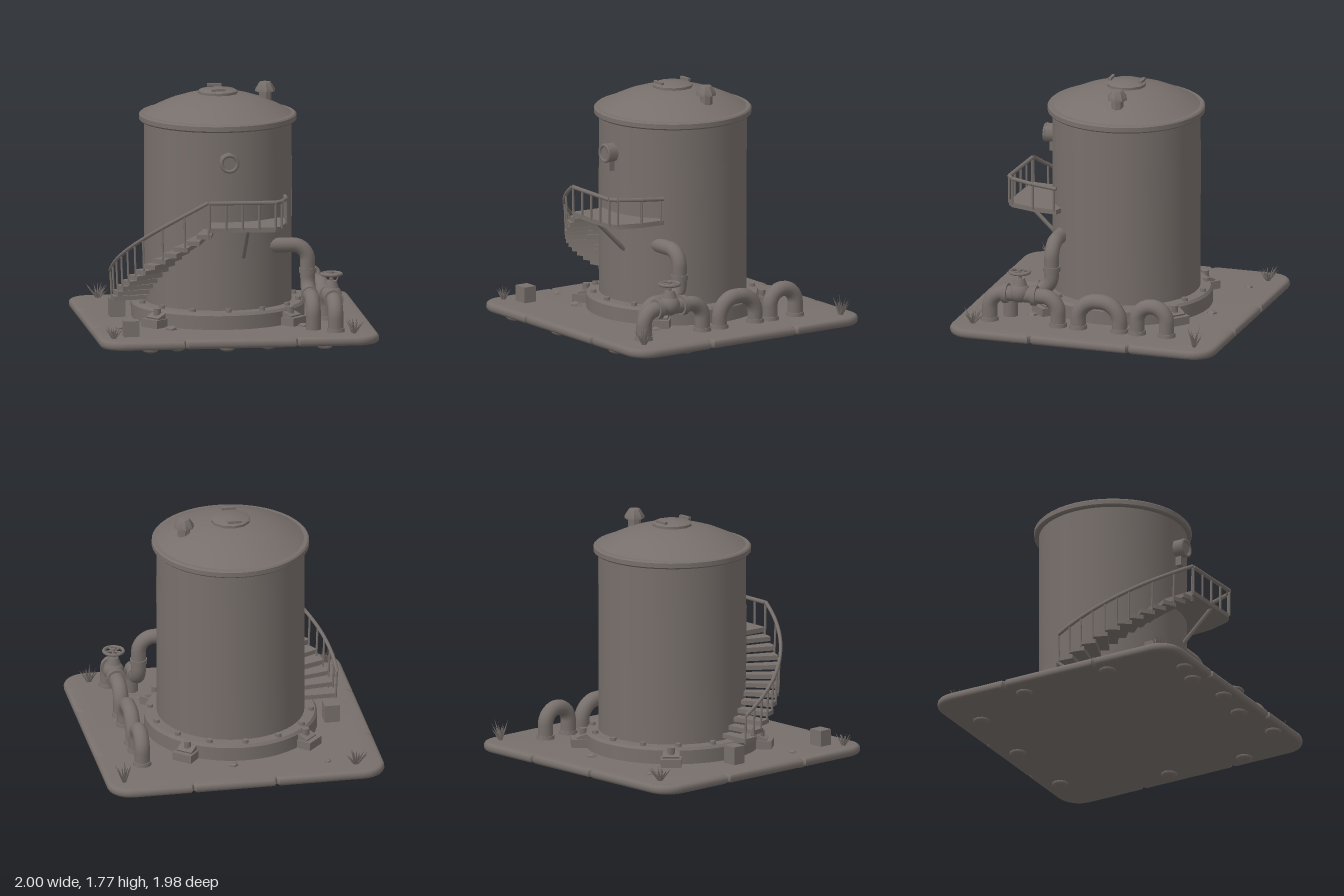
import * as THREE from 'three';
import { toCreasedNormals } from 'three/addons/utils/BufferGeometryUtils.js';

const V = (x, y, z) => new THREE.Vector3(x, y, z);
const CX = -0.04, CZ = -0.045, GROUND = 0.09;
// Point around the tank axis: angle 0 is +x, PI/2 is the front
const around = (r, a, y) => V(CX + r * Math.cos(a), y, CZ + r * Math.sin(a));

export function createModel() {
  const model = new THREE.Group();
  const paint = new THREE.MeshStandardMaterial({ color: 0x776f6b, side: THREE.DoubleSide });

  const add = (name, geo, x = 0, y = 0, z = 0, parent = model) => {
    const m = new THREE.Mesh(geo, paint);
    m.name = name;
    m.position.set(x, y, z);
    parent.add(m);
    return m;
  };
  const cyl = (r1, r2, h, n = 16) => new THREE.CylinderGeometry(r1, r2, h, n);
  const lathe = (pts, n = 48) =>
    toCreasedNormals(new THREE.LatheGeometry(pts.map(p => new THREE.Vector2(...p)), n), 0.6);
  // Horizontal slab of an (x, z) outline, its top face at y = 0
  const plate = (shape, h, bevel = 0) => {
    const g = new THREE.ExtrudeGeometry(shape, {
      depth: h - 2 * bevel, bevelEnabled: bevel > 0, bevelSize: bevel, bevelThickness: bevel,
      bevelOffset: -bevel, bevelSegments: 4, curveSegments: 8 });
    return toCreasedNormals(g.rotateX(Math.PI / 2).translate(0, -bevel, 0), 0.6);
  };
  const rod = (name, a, b, r, n = 6, parent = model) => {
    const m = add(name, cyl(r, r, a.distanceTo(b), n), 0, 0, 0, parent);
    m.position.copy(a).lerp(b, 0.5);
    m.quaternion.setFromUnitVectors(V(0, 1, 0), b.clone().sub(a).normalize());
    return m;
  };
  // Pipe through corner points, every bend rounded
  const pipe = (name, pts, r, bend) => {
    const path = new THREE.CurvePath();
    let last = pts[0];
    for (let i = 1; i < pts.length - 1; i++) {
      const a = pts[i].clone().add(pts[i - 1].clone().sub(pts[i]).setLength(bend));
      const b = pts[i].clone().add(pts[i + 1].clone().sub(pts[i]).setLength(bend));
      const k = 0.45;
      path.add(new THREE.LineCurve3(last, a));
      path.add(new THREE.CubicBezierCurve3(a, a.clone().lerp(pts[i], 1 - k), b.clone().lerp(pts[i], 1 - k), b));
      last = b;
    }
    path.add(new THREE.LineCurve3(last, pts[pts.length - 1]));
    return add(name, new THREE.TubeGeometry(path, 64, r, 14));
  };

  // Foundation slab with small notches along its edges
  const slab = new THREE.Shape(), E = 1, R = 0.17;
  const notches = [[-0.4, 0.4], [-0.36, 0.38], [-0.4, 0.2], [-0.38, 0.36]];
  for (let s = 0; s < 4; s++) {
    const t = s * Math.PI / 2, c = Math.round(Math.cos(t)), n = Math.round(Math.sin(t));
    const put = (u, v) => {
      const x = u * c + v * n, y = (-u * n + v * c) * 0.99 - 0.01;
      if (slab.curves.length || slab.currentPoint.lengthSq()) slab.lineTo(x, y);
      else slab.moveTo(x, y);
    };
    for (let i = 0; i <= 6; i++) {
      const q = Math.PI - i * Math.PI / 12;
      put(-E + R + R * Math.cos(q), E - R + R * Math.sin(q));
    }
    for (const k of notches[s]) { put(k - 0.014, E); put(k, E - 0.03); put(k + 0.014, E); }
  }
  slab.closePath();
  add('foundationSlab', plate(slab, 0.066, 0.028), 0, 0.096, 0);
  // Lumps under the slab
  for (const [x, z] of [[-0.65, 0.9], [-0.45, 0.85], [-0.1, 0.9], [0.2, 0.85], [0.6, 0.9], [0.88, 0.5],
    [0.85, -0.1], [0.6, -0.85], [0, -0.85], [-0.6, -0.8], [-0.85, -0.3], [-0.88, 0.4]]) {
    add('undersideLump', new THREE.SphereGeometry(0.06, 10, 6).scale(1, 0.45, 1), x, 0.028, z);
  }

  // Tank: base ring, wall, rim and domed roof
  add('baseRing', lathe([[0.5, 0.08], [0.615, 0.08], [0.615, 0.195], [0.6, 0.215], [0.5, 0.22]]), CX, 0, CZ);
  add('tankWall', lathe([[0.525, 0.1], [0.525, 1.53]], 64), CX, 0, CZ);
  add('roofRim', lathe([[0.52, 1.505], [0.55, 1.505], [0.56, 1.515], [0.56, 1.548], [0.55, 1.558], [0.51, 1.56]]), CX, 0, CZ);
  add('domedRoof', lathe([[0.53, 1.555], [0.45, 1.6], [0.35, 1.645], [0.24, 1.68], [0.12, 1.7], [0, 1.706]]), CX, 0, CZ);
  for (let i = 0; i < 14; i++) {
    const p = around(0.572, i * Math.PI / 7 - Math.PI / 2, 0.222);
    add('ringBolt', cyl(0.022, 0.025, 0.035, 6), p.x, p.y, p.z);
  }
  // Thin patches on the wall: start angle, end angle, bottom, top
  for (const [a, b, y0, y1] of [[-0.5, 0.06, 0.8, 1.23], [-0.85, -0.22, 1.25, 1.5],
    [0.2, 0.5, 1.02, 1.24], [-2.7, -2.25, 0.75, 1.25], [-1.9, -1.2, 0.9, 1.3], [2.2, 2.6, 0.7, 1.1]]) {
    const g = new THREE.CylinderGeometry(0.529, 0.529, y1 - y0, 10, 1, true, Math.PI / 2 - b, b - a);
    add('wallPatch', g, CX, (y0 + y1) / 2, CZ);
  }

  // Roof hatch with handles, and the capped vent
  add('roofHatch', lathe([[0.142, 1.68], [0.142, 1.715], [0.125, 1.724], [0, 1.735]], 12), CX, 0, CZ);
  for (const s of [-1, 1]) add('hatchHandle', new THREE.BoxGeometry(0.1, 0.018, 0.022), CX - 0.01, 1.737, CZ + s * 0.115);
  add('roofVent', lathe([[0.045, 1.6], [0.045, 1.69], [0.072, 1.695], [0.07, 1.715], [0.04, 1.762], [0, 1.768]], 8), 0.305, 0, -0.09);

  // Pressure gauge on the front
  add('gaugeCase', cyl(0.07, 0.07, 0.07, 8).rotateX(Math.PI / 2), -0.035, 1.29, 0.515);
  add('gaugeRing', new THREE.TorusGeometry(0.058, 0.013, 6, 16), -0.035, 1.29, 0.55);
  add('gaugeStem', new THREE.BoxGeometry(0.04, 0.07, 0.045), -0.035, 1.195, 0.5);

  // Curved stair
  const A0 = Math.PI * 1.0, A1 = 1.79, steps = 12;
  const treadY = t => 0.25 + 0.54 * t;
  const stairs = new THREE.Group();
  stairs.name = 'stairs';
  model.add(stairs);
  for (let i = 0; i < steps; i++) {
    const da = (A0 - A1) / steps, hi = A0 - i * da, lo = hi - da * 1.25;
    const s = new THREE.Shape();
    s.absarc(0, 0, 0.765, lo, hi, false);
    s.absarc(0, 0, 0.515, hi, lo, true);
    s.closePath();
    add('stairTread', plate(s, 0.032), CX, treadY(i / (steps - 1)) + 0.016, CZ, stairs);
  }
  const railPts = [];
  for (let i = 0; i <= 12; i++) {
    const t = i / 12, a = A0 + (A1 - A0) * t;
    const top = around(0.77, a, 0.44 + 0.6 * t);
    railPts.push(top);
    if (i % 2 === 0 || i < 7) rod('stairPost', around(0.76, a, treadY(t) - 0.02), top, 0.008, 6, stairs);
  }
  add('stairHandrail', new THREE.TubeGeometry(new THREE.CatmullRomCurve3(railPts), 40, 0.014, 6), 0, 0, 0, stairs);

  // Landing with its railing and strut
  const edge = [[-0.2, 0.71], [0.27, 0.73], [0.32, 0.69], [0.375, 0.52], [0.39, 0.34]];
  const floor = new THREE.Shape([[-0.18, 0.45], ...edge, [0.28, 0.3]].map(p => new THREE.Vector2(...p)));
  add('landingFloor', plate(floor, 0.034), 0, 0.855, 0);
  for (let i = 0; i < edge.length - 1; i++) {
    const [x0, z0] = edge[i], [x1, z1] = edge[i + 1];
    const y0 = 1.035 - (i > 2 ? 0.01 : 0), y1 = i > 2 ? 1.01 : i === 2 ? 1.025 : 1.035;
    rod('landingRail', V(x0, y0, z0), V(x1, y1, z1), 0.015);
    const n = i === 0 ? 4 : 1;
    for (let k = 0; k < n; k++) {
      const x = x0 + (x1 - x0) * k / n, z = z0 + (z1 - z0) * k / n;
      rod('landingPost', V(x, 0.84, z), V(x, 1.035, z), 0.009);
    }
  }
  rod('landingPost', V(0.385, 0.84, 0.36), V(0.385, 1.01, 0.36), 0.009);
  rod('landingStrut', V(0.075, 0.83, 0.7), V(0.075, 0.6, 0.46), 0.016);

  // Outlet pipe from the tank to the ground
  pipe('outletPipe', [V(0.25, 0.655, 0.32), V(0.555, 0.655, 0.32), V(0.555, 0.31, 0.32),
    V(0.555, 0.31, 0.625), V(0.555, 0.08, 0.625)], 0.053, 0.11);
  add('outletCollar', cyl(0.062, 0.062, 0.035), 0.555, 0.47, 0.32);
  add('outletCollar', cyl(0.062, 0.062, 0.035).rotateX(Math.PI / 2), 0.555, 0.31, 0.43);

  // Row of looped pipes
  for (const [z0, z1, bend] of [[-0.585, -0.365, 0.108], [-0.235, 0.075, 0.14], [0.225, 0.735, 0.11]]) {
    pipe('loopPipe', [V(0.7, 0.08, z0), V(0.7, 0.305, z0), V(0.7, 0.305, z1), V(0.7, 0.08, z1)], 0.055, bend);
    for (const z of [z0, z1]) add('pipeFoot', cyl(0.062, 0.066, 0.03), 0.7, 0.108, z);
  }

  // Valve with handwheel
  add('valveBody', new THREE.SphereGeometry(0.075, 16, 12), 0.7, 0.32, 0.51);
  for (const z of [0.4, 0.615]) add('valveFlange', cyl(0.072, 0.072, 0.035).rotateX(Math.PI / 2), 0.7, 0.305, z);
  add('valveBonnet', cyl(0.035, 0.055, 0.06, 12), 0.7, 0.395, 0.51);
  add('valveStem', cyl(0.015, 0.015, 0.1, 8), 0.7, 0.44, 0.51);
  add('handwheel', new THREE.TorusGeometry(0.07, 0.012, 8, 20).rotateX(Math.PI / 2), 0.7, 0.472, 0.51);
  for (let i = 0; i < 5; i++) {
    const a = i * Math.PI * 0.4;
    rod('wheelSpoke', V(0.7, 0.468, 0.51), V(0.7 + 0.07 * Math.cos(a), 0.472, 0.51 + 0.07 * Math.sin(a)), 0.009);
  }

  // Anchor brackets around the base
  for (const a of [0.76, 2.45, -2.38, -0.88]) {
    const g = new THREE.Group(), p = around(0.635, a, 0);
    g.name = 'anchorBracket';
    g.position.copy(p);
    g.rotation.y = -a;
    model.add(g);
    add('bracketFoot', new THREE.BoxGeometry(0.15, 0.07, 0.15), 0.01, 0.12, 0, g);
    add('bracketWedge', new THREE.BoxGeometry(0.13, 0.06, 0.12), -0.02, 0.16, 0, g).rotation.z = -0.35;
    add('bracketBolt', cyl(0.028, 0.028, 0.05, 6), 0, 0.2, 0, g);
  }

  // Concrete blocks and loose stones
  add('concreteBlock', new THREE.BoxGeometry(0.11, 0.14, 0.1), -0.755, 0.155, -0.11);
  add('concreteBlock', new THREE.BoxGeometry(0.11, 0.12, 0.1), -0.765, 0.15, 0.72);
  for (const [x, z, r] of [[-0.81, 0.41, 0.032], [0.07, -0.72, 0.04], [-0.6, -0.78, 0.03], [0.5, 0.48, 0.04], [-0.45, 0.5, 0.05]])
    add('stone', toCreasedNormals(new THREE.DodecahedronGeometry(r).scale(1, 0.6, 1), 0.1), x, GROUND + 0.005, z);

  // Grass tufts in the corners
  let seed = 7;
  const rnd = () => (seed = (seed * 16807) % 2147483647) / 2147483647;
  for (const [x, z, r, h] of [[-0.79, -0.86, 0.1, 0.12], [0.88, -0.85, 0.075, 0.16], [-0.9, 0.82, 0.07, 0.11], [0.82, 0.82, 0.085, 0.13]]) {
    const tuft = new THREE.Group();
    tuft.name = 'grassTuft';
    tuft.position.set(x, GROUND, z);
    model.add(tuft);
    for (let i = 0; i < 14; i++) {
      const a = i * 2.4, lean = r * (0.25 + 0.75 * rnd()), tip = h * (0.55 + 0.45 * rnd());
      const len = Math.hypot(lean, tip);
      const m = add('grassBlade', new THREE.ConeGeometry(0.012, len, 3).translate(0, len / 2, 0), 0, 0, 0, tuft);
      m.quaternion.setFromUnitVectors(V(0, 1, 0), V(Math.cos(a) * lean, tip, Math.sin(a) * lean).normalize());
    }
  }
  return model;
}
